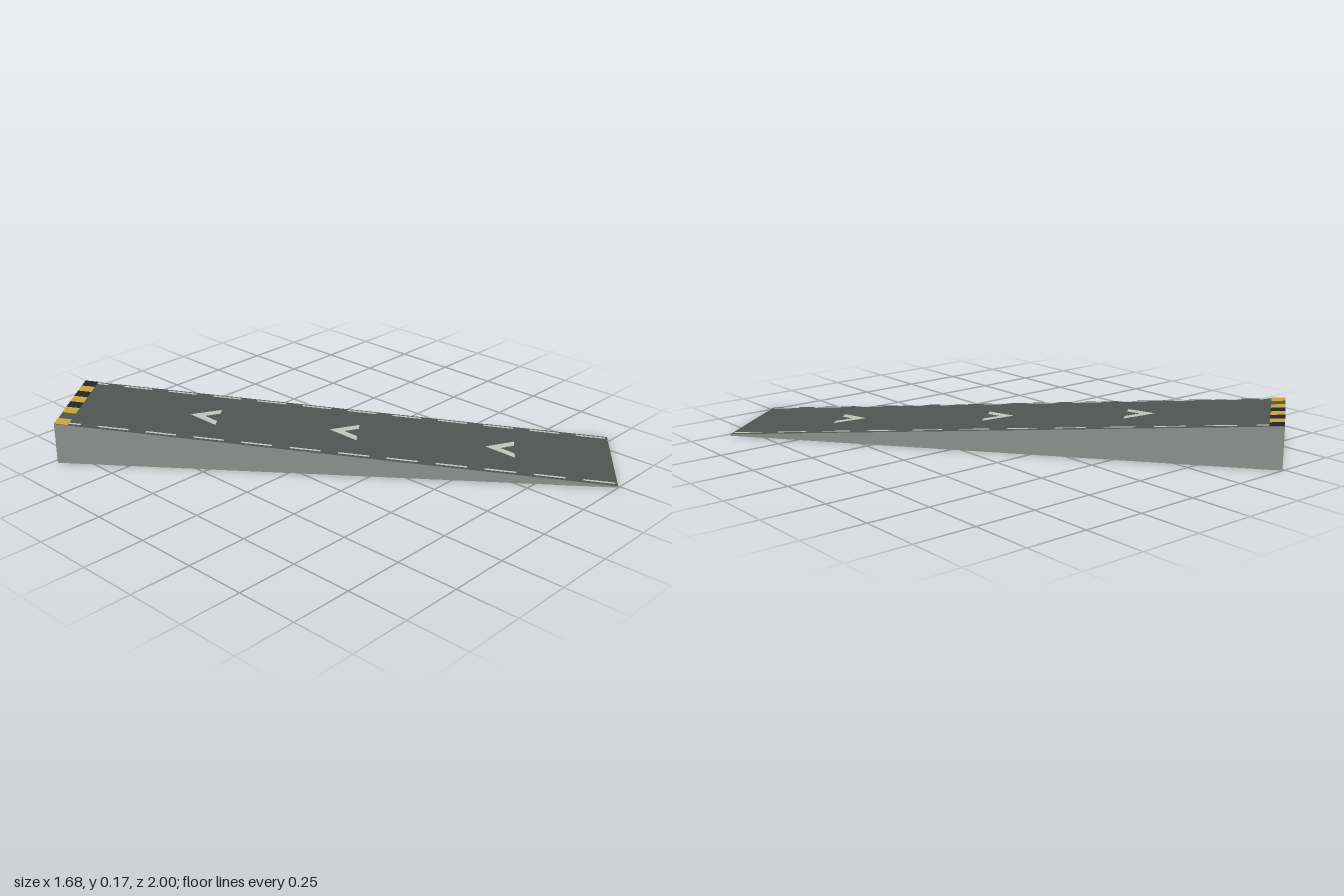
import * as THREE from 'three';

const L = 2.18, W = 0.442, LOW = 0.006, HIGH = 0.168;
const deckHeight = (u) => LOW + (HIGH - LOW) * (u / L + 0.5);

const material = (name, color) => {
  const m = new THREE.MeshStandardMaterial({ color, side: THREE.DoubleSide });
  m.name = name;
  return m;
};

// Flat outline in (across, along) coordinates, laid onto the sloping deck
function plate(name, outline, mat, lift) {
  const shape = new THREE.Shape(outline.map(([v, u]) => new THREE.Vector2(v, u)));
  const geo = new THREE.ShapeGeometry(shape);
  const p = geo.attributes.position;
  for (let i = 0; i < p.count; i++) {
    const u = p.getY(i);
    p.setXYZ(i, p.getX(i), deckHeight(u) + lift, -u);
  }
  geo.computeVertexNormals();
  const mesh = new THREE.Mesh(geo, mat);
  mesh.name = name;
  return mesh;
}

const rect = (v0, v1, u0, u1) => [[v0, u0], [v1, u0], [v1, u1], [v0, u1]];

// Upright wall from the ground to the deck between two plan points
function wall(name, [v0, u0], [v1, u1], mat) {
  const geo = new THREE.BufferGeometry();
  geo.setAttribute('position', new THREE.Float32BufferAttribute([
    v0, 0, -u0, v1, 0, -u1, v1, deckHeight(u1), -u1, v0, deckHeight(u0), -u0,
  ], 3));
  geo.setIndex([0, 1, 2, 0, 2, 3]);
  geo.computeVertexNormals();
  const mesh = new THREE.Mesh(geo, mat);
  mesh.name = name;
  return mesh;
}

export function createModel() {
  const deckGrey = material('deck grey', 0x525655);
  const concrete = material('concrete grey', 0x8b918e);
  const paint = material('pale paint', 0xc6c8be);
  const yellow = material('warning yellow', 0xcfa63a);
  const black = material('warning black', 0x1e2727);

  const ramp = new THREE.Group();
  ramp.name = 'ramp';
  const w = W / 2, h = L / 2;

  // Sloping deck over four walls, open underneath
  ramp.add(plate('deck', rect(-w, w, -h, h), deckGrey, 0));
  ramp.add(wall('rightWall', [w, -h], [w, h], concrete));
  ramp.add(wall('highEndWall', [w, h], [-w, h], concrete));
  ramp.add(wall('leftWall', [-w, h], [-w, -h], concrete));
  ramp.add(wall('lowEndWall', [-w, -h], [w, -h], concrete));

  // Dashed edge lines
  for (const side of [-1, 1]) {
    for (let i = 0; i < 12; i++) {
      const start = -h + 0.01 + i * 0.188;
      const end = Math.min(start + 0.12, h - 0.056);
      ramp.add(plate('edgeDash', rect(side * 0.203 - 0.006, side * 0.203 + 0.006, start, end), paint, 0.002));
    }
  }

  // Direction chevrons pointing uphill
  for (const tip of [-0.589, 0.034, 0.597]) {
    ramp.add(plate('chevron', [
      [0, tip], [-0.074, tip - 0.115], [-0.036, tip - 0.115],
      [0, tip - 0.06], [0.036, tip - 0.115], [0.074, tip - 0.115],
    ], paint, 0.002));
  }

  // Warning band at the high end; the second block is bare deck
  const block = W / 8;
  for (let i = 0; i < 8; i++) {
    if (i === 1) continue;
    const v = -w + i * block;
    ramp.add(plate('warningBlock', rect(v, v + block, h - 0.055, h), i % 2 ? black : yellow, 0.002));
  }

  ramp.rotation.y = 0.656;
  const model = new THREE.Group();
  model.name = 'rampModel';
  model.add(ramp);
  return model;
}
